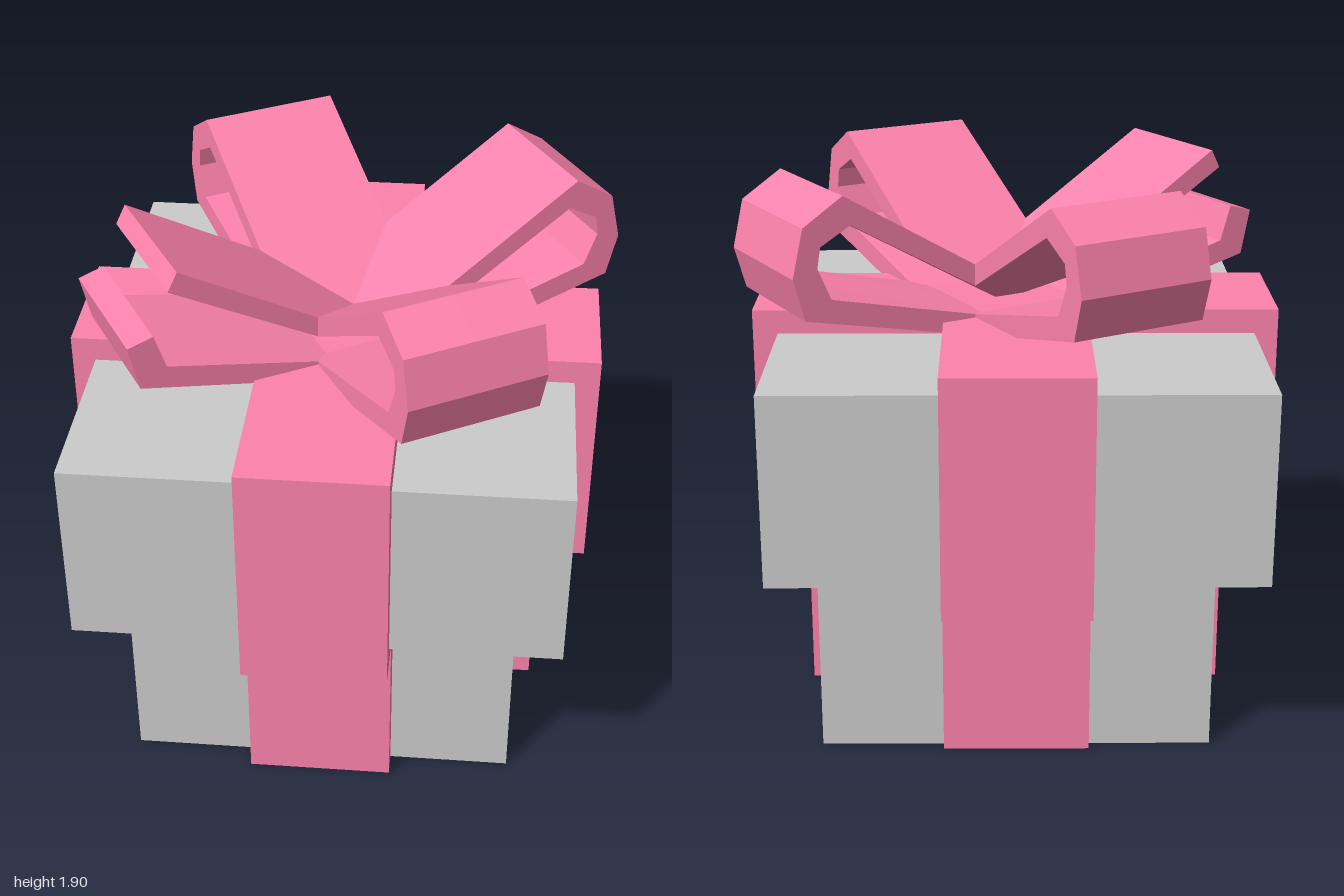
import * as THREE from 'three';

const grey = new THREE.MeshStandardMaterial({ color: 0xcccccc, flatShading: true });
const pink = new THREE.MeshStandardMaterial({ color: 0xfd82ac, flatShading: true });

const CX = -0.0275; // centre of the box across x
const HALF_WIDTH = 0.2475; // half width of every ribbon

function addMesh(parent, name, geometry, material) {
  const mesh = new THREE.Mesh(geometry, material);
  mesh.name = name;
  parent.add(mesh);
  return mesh;
}

// Box given by its limits on each axis
function addBox(parent, name, [x0, x1], [y0, y1], [z0, z1], material) {
  const mesh = addMesh(parent, name, new THREE.BoxGeometry(x1 - x0, y1 - y0, z1 - z0), material);
  mesh.position.set((x0 + x1) / 2, (y0 + y1) / 2, (z0 + z1) / 2);
}

// Extrude a profile symmetrically about z = 0
function extrude(points, steps = 1) {
  const shape = new THREE.Shape(points.map(([x, y]) => new THREE.Vector2(x, y)));
  return new THREE.ExtrudeGeometry(shape, { depth: 2 * HALF_WIDTH, steps, bevelEnabled: false })
    .translate(0, 0, -HALF_WIDTH);
}

// Ribbon folded over the lid: an upside-down U
function lidRibbon(half, inner) {
  return extrude([
    [-half, 0.59], [-inner, 0.59], [-inner, 1.25], [inner, 1.25],
    [inner, 0.59], [half, 0.59], [half, 1.42], [-half, 1.42],
  ]);
}

// Bow strip: inner ends are mitred so that four of them meet in the middle
function bowStrip(points) {
  const geometry = extrude(points, 2);
  const p = geometry.attributes.position;
  for (let i = 0; i < p.count; i++) {
    if (p.getX(i) > 0.001) continue;
    const w = Math.abs(p.getZ(i));
    const slope = p.getY(i) > 1.38 ? 0.595 : 0.23;
    p.setX(i, w);
    p.setY(i, p.getY(i) + slope * w);
  }
  geometry.computeVertexNormals();
  return geometry;
}

export function createModel() {
  const model = new THREE.Group();
  model.name = 'giftBox';

  // Box and overhanging lid
  addBox(model, 'boxBase', [-0.6975, 0.6425], [0, 0.67], [-0.75, 0.75], grey);
  addBox(model, 'lid', [-0.8625, 0.8025], [0.67, 1.335], [-0.915, 0.915], grey);

  // Ribbons around the base
  addBox(model, 'baseRibbonAcross', [-0.775, 0.72], [0.002, 0.68], [-0.25, 0.25], pink);
  addBox(model, 'baseRibbonFrontToBack', [CX - 0.25, CX + 0.25], [0.002, 0.68], [-0.79, 0.835], pink);

  // Ribbons over the lid
  addMesh(model, 'lidRibbonAcross', lidRibbon(0.916, 0.7475), pink).position.x = CX;
  const along = addMesh(model, 'lidRibbonFrontToBack', lidRibbon(1, 0.8325), pink);
  along.position.x = CX;
  along.rotation.y = Math.PI / 2;

  // Bow loop profiles: distance from the centre, height
  const closedLoop = [
    [0, 1.46], [0, 1.385], [0.71, 1.8], [0.82, 1.74], [0.832, 1.67], [0.785, 1.56], [0, 1.375],
    [0, 1.3], [0.88, 1.5], [0.92, 1.645], [0.88, 1.81], [0.735, 1.9],
  ];
  const openTop = [[0, 1.46], [0, 1.385], [0.767, 1.835], [0.732, 1.9]];
  const openBottom = [
    [0, 1.375], [0, 1.3], [0.88, 1.5], [0.915, 1.66], [0.825, 1.685], [0.785, 1.56],
  ];

  // Four loops a quarter turn apart; the third one is open at its end
  const bow = new THREE.Group();
  bow.name = 'bow';
  bow.position.x = 0.02;
  for (let i = 0; i < 4; i++) {
    const loop = new THREE.Group();
    loop.name = 'bowLoop' + (i + 1);
    loop.rotation.y = Math.PI / 6 + (i * Math.PI) / 2;
    if (i === 2) {
      addMesh(loop, 'upperStrip', bowStrip(openTop), pink);
      addMesh(loop, 'lowerStrip', bowStrip(openBottom), pink);
    } else {
      addMesh(loop, 'loopStrip', bowStrip(closedLoop), pink);
    }
    bow.add(loop);
  }
  model.add(bow);

  return model;
}
